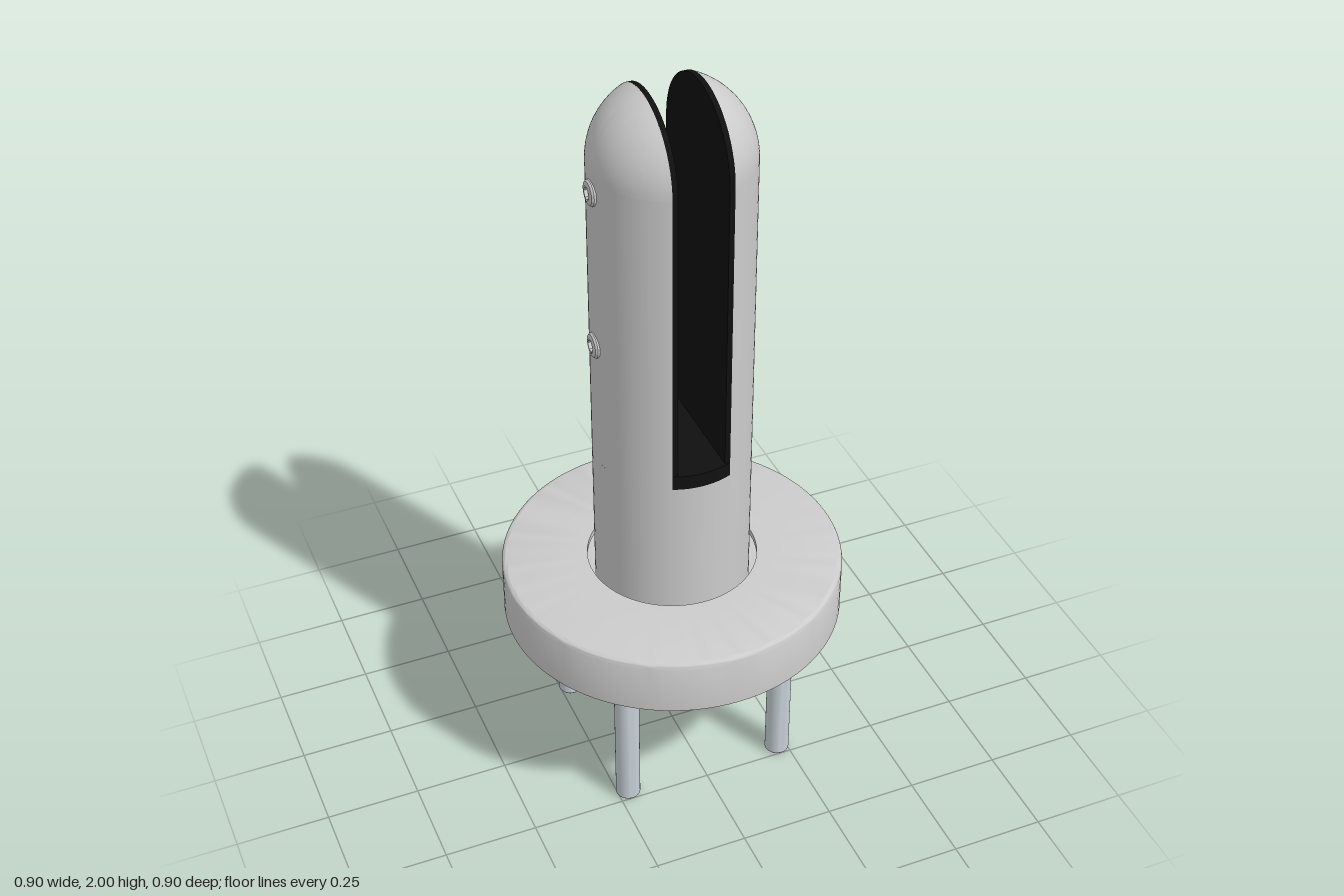
import * as THREE from 'three';
import { toCreasedNormals } from 'three/addons/utils/BufferGeometryUtils.js';

const R = 0.205;          // post radius
const SLOT = 0.078;       // half width of the slot cut in the post
const PAD = 0.014;        // thickness of the rubber lining
const FLOOR = 0.98;       // bottom of the slot
const SHOULDER = 1.81;    // where the dome starts

export function createModel() {
  const model = new THREE.Group();
  const steel = new THREE.MeshStandardMaterial({ color: 0xcccccc, side: THREE.DoubleSide });
  const pinSteel = new THREE.MeshStandardMaterial({ color: 0xc6d0d6 });
  const rubber = new THREE.MeshStandardMaterial({ color: 0x101010 });

  const add = (name, geometry, material, parent = model) => {
    const mesh = new THREE.Mesh(geometry, material);
    mesh.name = name;
    parent.add(mesh);
    return mesh;
  };
  const lathe = (points, segments, start = 0, length = Math.PI * 2) =>
    toCreasedNormals(new THREE.LatheGeometry(
      points.map(([x, y]) => new THREE.Vector2(x, y)), segments, start, length), 0.6);

  // Solid lower post
  add('postBase', new THREE.CylinderGeometry(R, R, FLOOR - 0.49, 96), steel).position.y = (FLOOR + 0.49) / 2;

  // Two cheeks: a cylinder wall plus a quarter of a ball, each with a rubber lining
  const half = Math.acos(SLOT / R);
  const chord = R * Math.sin(half);
  for (const [side, label] of [[1, 'left'], [-1, 'right']]) {
    const cheek = new THREE.Group();
    cheek.name = label + 'Cheek';
    cheek.rotation.y = side > 0 ? 0 : Math.PI;
    model.add(cheek);

    const wall = new THREE.CylinderGeometry(R, R, SHOULDER - FLOOR, 40, 1, true, Math.PI / 2 - half, 2 * half);
    add(label + 'CheekWall', wall, steel, cheek).position.y = (SHOULDER + FLOOR) / 2;

    // Ball cap turned about the x axis, upper half only
    const arc = [];
    for (let i = 0; i <= 20; i++) {
      const a = half * (1 - i / 20);
      arc.push([R * Math.sin(a), R * Math.cos(a)]);
    }
    const cap = lathe(arc, 48, Math.PI, Math.PI);
    cap.rotateZ(-Math.PI / 2);
    add(label + 'CheekDome', cap, steel, cheek).position.y = SHOULDER;

    // Lining outline follows the cut face of the cheek
    const outline = new THREE.Shape();
    outline.moveTo(-chord, FLOOR);
    outline.lineTo(chord, FLOOR);
    outline.lineTo(chord, SHOULDER);
    outline.absarc(0, SHOULDER, chord, 0, Math.PI);
    outline.closePath();
    const pad = new THREE.ExtrudeGeometry(outline, { depth: PAD, bevelEnabled: false, curveSegments: 40 });
    pad.rotateY(Math.PI / 2);
    add(label + 'SlotLining', toCreasedNormals(pad, 0.6), rubber, cheek).position.x = SLOT - PAD;
  }

  // Rubber floor of the slot, with ends curved to the post
  const band = new THREE.Shape();
  band.absarc(0, 0, R, Math.PI / 2 - (Math.PI / 2 - half), Math.PI - half);
  band.absarc(0, 0, R, Math.PI + half, 2 * Math.PI - half);
  band.closePath();
  const floor = new THREE.ExtrudeGeometry(band, { depth: 0.04, bevelEnabled: false, curveSegments: 20 });
  floor.rotateX(-Math.PI / 2);
  add('slotFloor', toCreasedNormals(floor, 0.6), rubber).position.y = FLOOR;

  // Hollow cover ring with a rounded top edge
  const cover = [[0.438, 0.46], [0.452, 0.46], [0.452, 0.6]];
  for (let i = 1; i <= 6; i++) {
    const a = (i / 6) * Math.PI / 2;
    cover.push([0.437 + 0.015 * Math.cos(a), 0.6 + 0.015 * Math.sin(a)]);
  }
  cover.push([0.225, 0.615], [0.225, 0.598], [0.438, 0.598], [0.438, 0.46]);
  add('coverRing', lathe(cover, 96), steel);

  // Base plate inside the cover
  add('basePlate', new THREE.CylinderGeometry(0.426, 0.426, 0.07, 96), steel).position.y = 0.5;

  // Four anchor pins with chamfered tips
  for (const x of [-0.222, 0.222]) {
    for (const z of [-0.222, 0.222]) {
      const pin = lathe([[0, 0], [0.027, 0], [0.033, 0.007], [0.033, 0.48], [0, 0.48]], 32);
      add('anchorPin', pin, pinSteel).position.set(x, 0, z);
    }
  }

  // Button-head clamp screws with a hexagonal socket
  for (const y of [1.33, 1.76]) {
    const screw = new THREE.Group();
    screw.name = 'clampScrew';
    screw.position.set(-R, y, 0);
    screw.rotation.z = Math.PI / 2;
    model.add(screw);
    add('screwHead', lathe([[0.033, -0.012], [0.033, 0.003], [0.029, 0.008], [0.018, 0.011]], 32), steel, screw);
    add('screwSocket', lathe([[0.018, 0.011], [0.016, 0.011], [0.016, 0.002], [0, 0.002]], 6), steel, screw);
  }

  return model;
}
